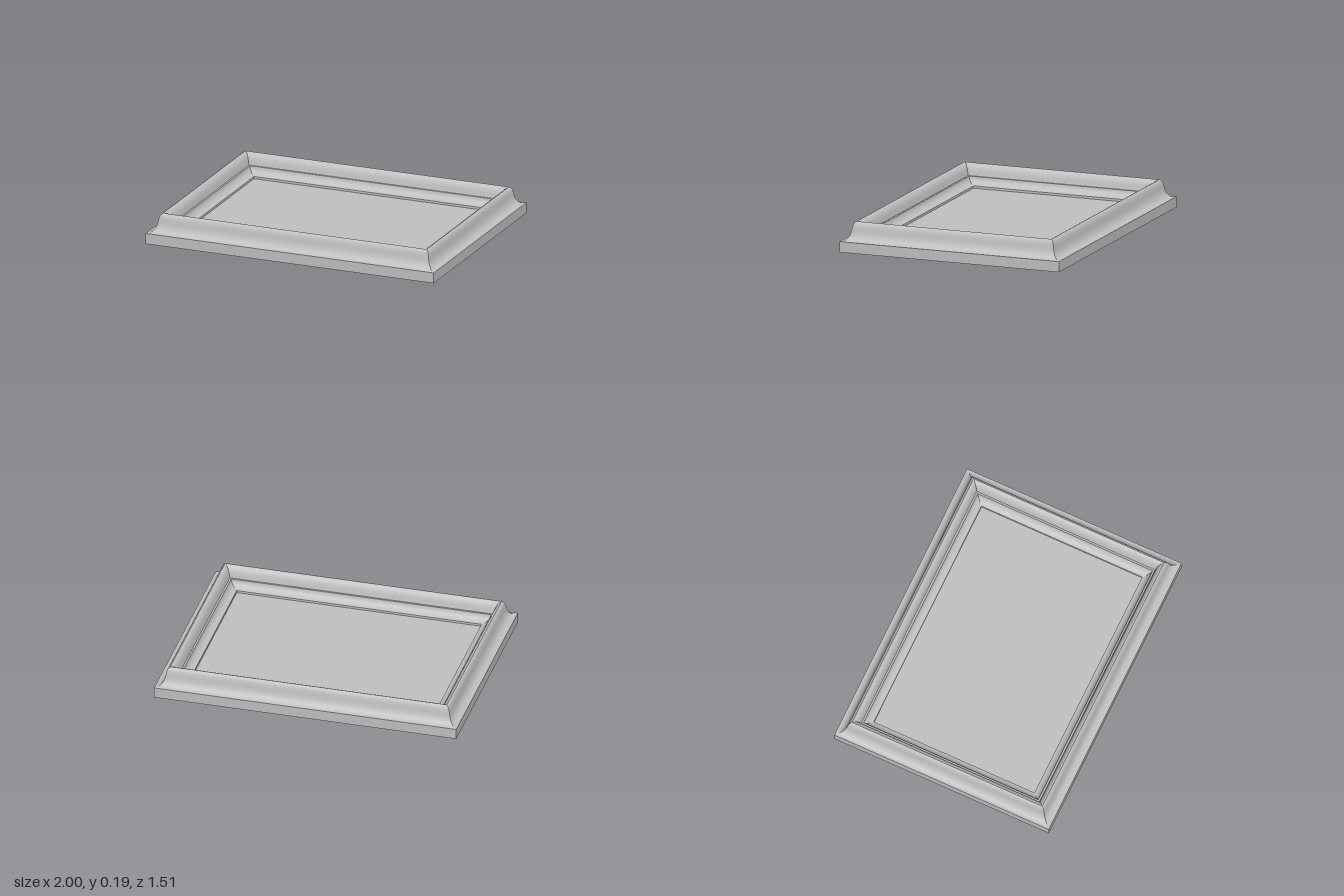
import * as THREE from 'three';
import { toCreasedNormals } from 'three/addons/utils/BufferGeometryUtils.js';

const HALF_X = 1.0, HALF_Z = 0.757;

// Moulding section: x is the inset from the outer edge, y is the height
function mouldingProfile() {
  const p = new THREE.Path();
  p.moveTo(0, 0);
  p.lineTo(0, 0.07);
  p.lineTo(0.012, 0.07);
  p.quadraticCurveTo(0.05, 0.077, 0.06, 0.135);    // outer cove
  p.quadraticCurveTo(0.067, 0.188, 0.085, 0.192);  // outer shoulder
  p.quadraticCurveTo(0.115, 0.185, 0.125, 0.125);  // inner roll
  p.lineTo(0.128, 0.115);
  p.lineTo(0.14, 0.115);                           // small step
  p.quadraticCurveTo(0.146, 0.072, 0.19, 0.065);   // inner cove
  p.lineTo(0.19, 0);
  p.lineTo(0, 0);
  return p.getPoints(10);
}

// One mitred rail between two neighbouring corners
function railGeometry(profile, from, to) {
  const at = ([sx, sz], p) => [sx * (HALF_X - p.x), p.y, sz * (HALF_Z - p.x)];
  const positions = [];
  for (let i = 0; i < profile.length - 1; i++) {
    const a = at(from, profile[i]), b = at(to, profile[i]);
    const c = at(to, profile[i + 1]), d = at(from, profile[i + 1]);
    positions.push(...a, ...b, ...c, ...a, ...c, ...d);
  }
  const g = new THREE.BufferGeometry();
  g.setAttribute('position', new THREE.Float32BufferAttribute(positions, 3));
  return toCreasedNormals(g, Math.PI / 5);
}

export function createModel() {
  const group = new THREE.Group();
  group.name = 'pictureFrame';
  const grey = new THREE.MeshStandardMaterial({ color: 0xc0c0c0 });
  grey.name = 'lightGrey';

  // Four rails, counter-clockwise from the front
  const profile = mouldingProfile();
  const corners = [[-1, 1], [1, 1], [1, -1], [-1, -1]];
  ['frontRail', 'leftRail', 'backRail', 'rightRail'].forEach((name, i) => {
    const rail = new THREE.Mesh(railGeometry(profile, corners[i], corners[(i + 1) % 4]), grey);
    rail.name = name;
    group.add(rail);
  });

  // Thin panel closing the opening
  const panel = new THREE.Mesh(
    new THREE.BoxGeometry(2 * (HALF_X - 0.19), 0.01, 2 * (HALF_Z - 0.19)), grey);
  panel.name = 'panel';
  panel.position.y = 0.045;
  group.add(panel);

  return group;
}
